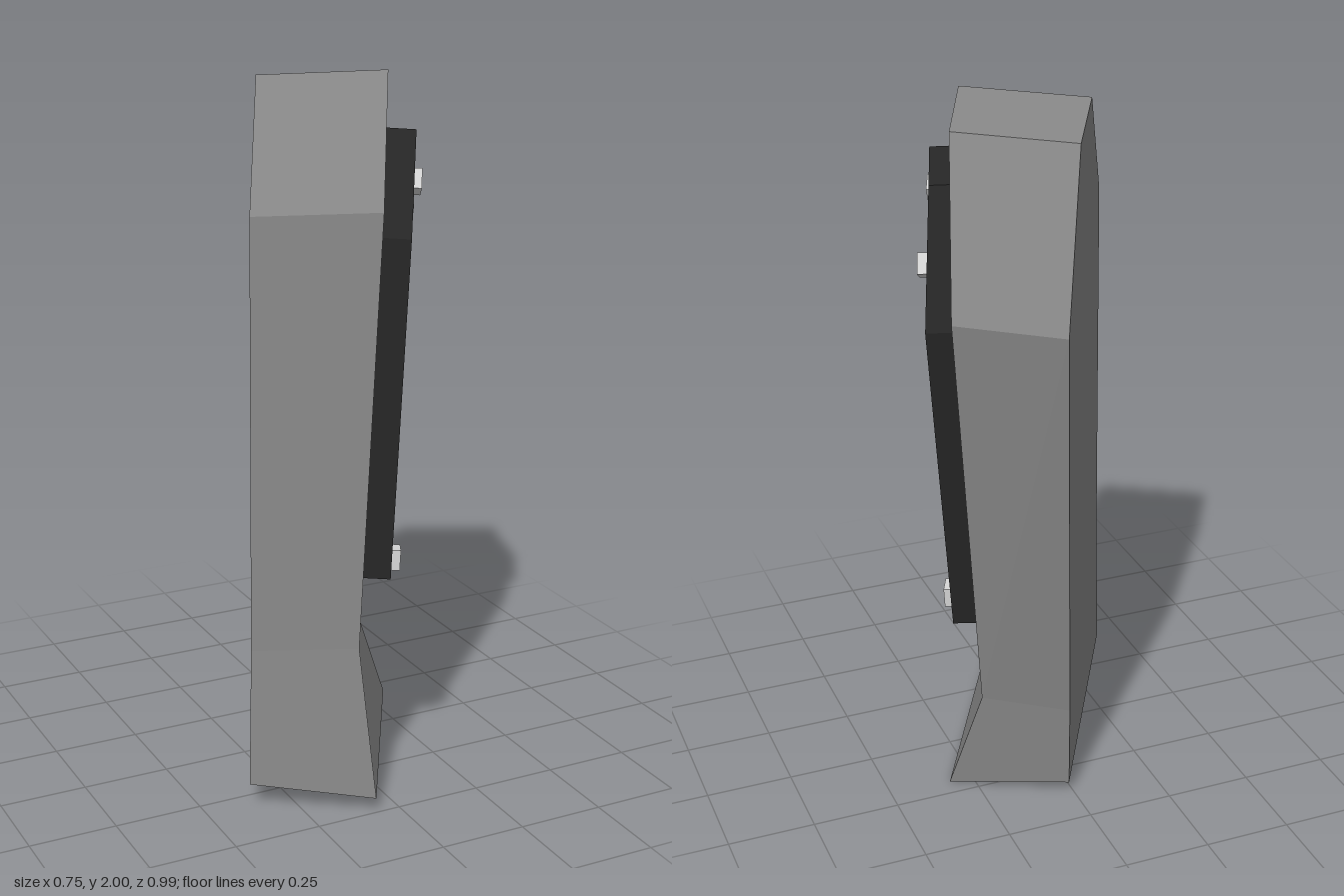
import * as THREE from 'three';

const stoneMat = new THREE.MeshStandardMaterial({ color: 0x868686 });
stoneMat.name = 'stone grey';
const plaqueMat = new THREE.MeshStandardMaterial({ color: 0x262626 });
plaqueMat.name = 'plaque black';
const nailMat = new THREE.MeshStandardMaterial({ color: 0xd6d6d6 });
nailMat.name = 'nail light grey';

// Slab between two matching outlines: bottom left, bottom right, then up and round
function slab(front, back) {
  const n = front.length;
  const pos = [];
  const quad = (a, b, c, d) => [a, b, c, a, c, d].forEach((p) => pos.push(...p));
  for (let i = 0; i < n; i++) {
    const j = (i + 1) % n;
    quad(front[i], back[i], back[j], front[j]);
  }
  // caps, in bands from the bottom to the top
  for (let k = 0; k < n / 2 - 1; k++) {
    const l0 = (n - k) % n, r0 = 1 + k, l1 = n - k - 1, r1 = 2 + k;
    quad(front[l0], front[r0], front[r1], front[l1]);
    quad(back[r0], back[l0], back[l1], back[r1]);
  }
  const g = new THREE.BufferGeometry();
  g.setAttribute('position', new THREE.Float32BufferAttribute(pos, 3));
  g.computeVertexNormals();
  return g;
}

function addMesh(parent, geometry, material, name) {
  const mesh = new THREE.Mesh(geometry, material);
  mesh.name = name;
  parent.add(mesh);
  return mesh;
}

export function createModel() {
  const model = new THREE.Group();
  model.name = 'gravestone';

  // Leaning stone with a flared foot and a chamfered top
  const stoneFront = [
    [-0.07, 0.04, 0.495], [0.32, 0, -0.195], [0.24, 0.31, -0.26], [0.34, 1.5, -0.335],
    [0.262, 1.947, -0.12], [0.153, 2, 0.107], [0.02, 1.66, 0.34], [-0.085, 0.465, 0.415],
  ];
  const stoneBack = [
    [-0.375, 0.07, 0.315], [0.015, 0.035, -0.375], [0.02, 0.29, -0.387], [0.08, 1.485, -0.497],
    [-0.035, 1.93, -0.292], [-0.16, 1.983, -0.072], [-0.29, 1.645, 0.165], [-0.345, 0.45, 0.267],
  ];
  addMesh(model, slab(stoneFront, stoneBack), stoneMat, 'stone');

  // Plaque, sunk slightly into the face of the stone
  const plaqueFront = [
    [0.038, 0.63, 0.365], [0.29, 0.515, -0.164], [0.372, 1.44, -0.218],
    [0.308, 1.797, -0.083], [0.232, 1.835, 0.127], [0.123, 1.572, 0.306],
  ];
  const plaqueBack = plaqueFront.map(([x, y, z]) => [x - 0.09, y + 0.006, z - 0.043]);
  addMesh(model, slab(plaqueFront, plaqueBack), plaqueMat, 'plaque');

  // Square nails lying flat on the plaque
  const [bl, br] = plaqueFront.map((p) => new THREE.Vector3(...p));
  const up = new THREE.Vector3(...plaqueFront[5]).sub(bl).normalize();
  const out = br.clone().sub(bl).cross(up).normalize();
  const right = up.clone().cross(out);
  const basis = new THREE.Matrix4().makeBasis(right, up, out);
  const nails = [
    [0.165, 1.7, -0.42], [-0.09, 1.58, 0.6], [0.317, 0.675, 0.03], [-0.106, 0.58, 0.05],
  ];
  const nailGeo = new THREE.BoxGeometry(0.058, 0.058, 0.05);
  for (const [z, y, turn] of nails) {
    // x that puts the nail on the plaque face
    const x = bl.x - (out.y * (y - bl.y) + out.z * (z - bl.z)) / out.x;
    const nail = addMesh(model, nailGeo, nailMat, 'nail');
    nail.quaternion.setFromRotationMatrix(basis);
    nail.rotateZ(turn);
    nail.position.set(x, y, z);
  }
  return model;
}
